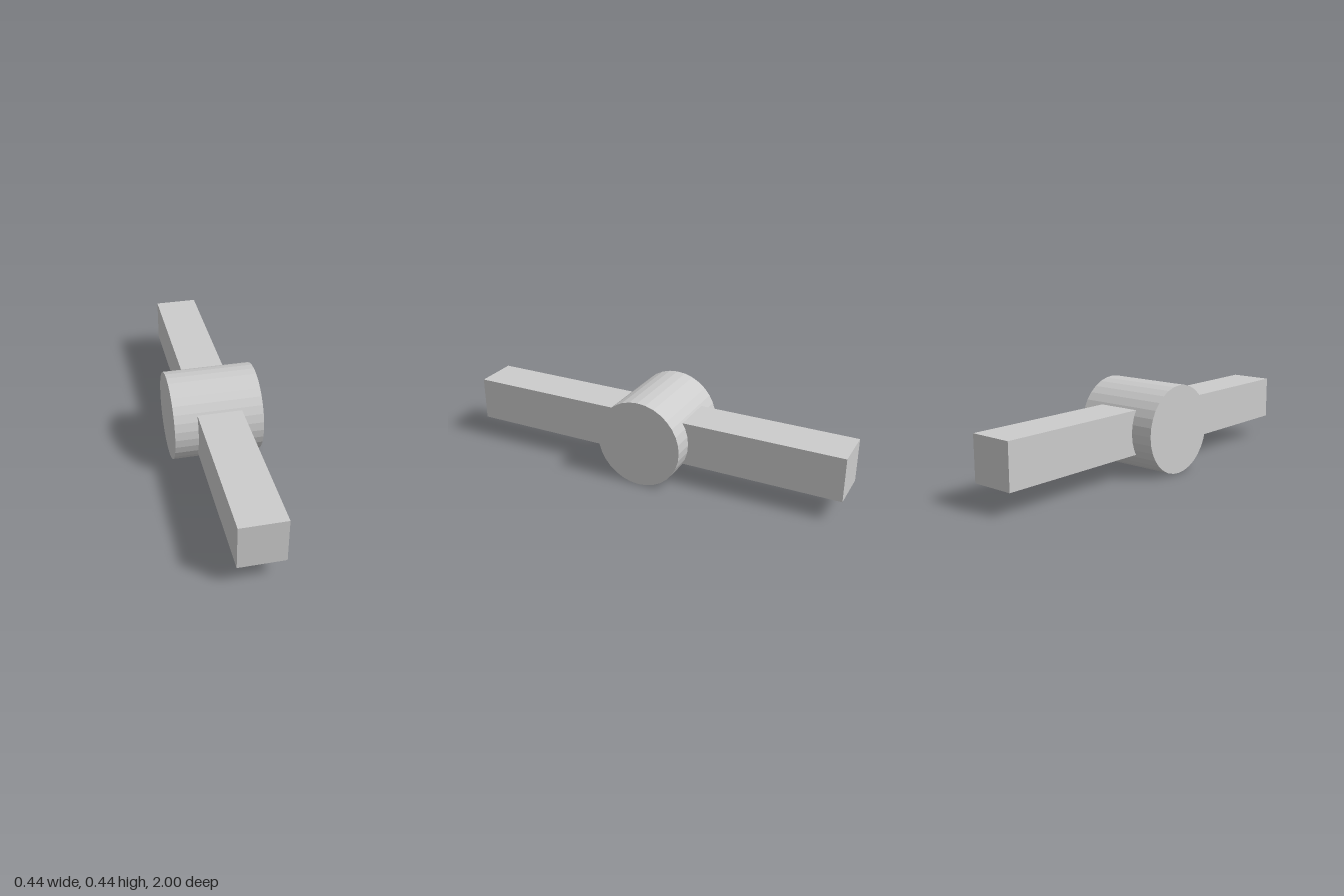
import * as THREE from 'three';

export function createModel() {
  const model = new THREE.Group();
  const material = new THREE.MeshStandardMaterial({ color: 0xcccccc, flatShading: true });
  const radius = 0.2222;

  const addPart = (name, geometry, x, y) => {
    const mesh = new THREE.Mesh(geometry, material);
    mesh.name = name;
    mesh.position.set(x, y, 0);
    model.add(mesh);
  };

  // Faceted hub lying along x
  addPart('hub', new THREE.CylinderGeometry(radius, radius, 2 * radius, 32).rotateZ(Math.PI / 2), 0, radius);

  // Square bar passing through the hub, very slightly off-centre
  addPart('crossBar', new THREE.BoxGeometry(0.2222, 0.2222, 2), 0.005, 0.2235);

  return model;
}
